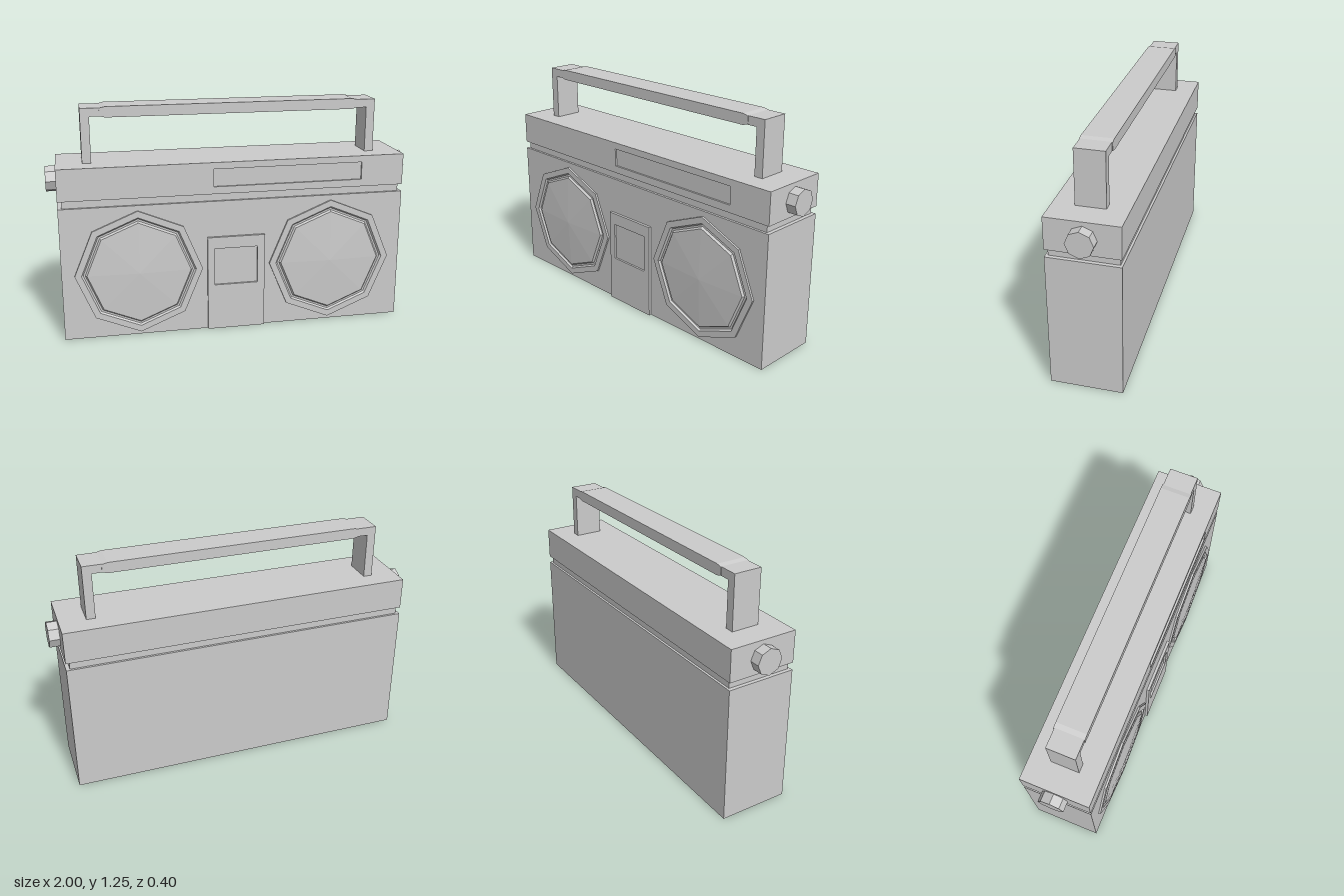
import * as THREE from 'three';

const material = new THREE.MeshStandardMaterial({ color: 0xcccccc, flatShading: true });

function add(parent, name, geometry) {
  const mesh = new THREE.Mesh(geometry, material);
  mesh.name = name;
  parent.add(mesh);
  return mesh;
}

// Box given by its min and max on each axis
function box(parent, name, x0, x1, y0, y1, z0, z1) {
  const mesh = add(parent, name, new THREE.BoxGeometry(x1 - x0, y1 - y0, z1 - z0));
  mesh.position.set((x0 + x1) / 2, (y0 + y1) / 2, (z0 + z1) / 2);
  return mesh;
}

const polygon = (points) => new THREE.Shape(points.map(([x, y]) => new THREE.Vector2(x, y)));
const rect = (x0, x1, y0, y1) => polygon([[x0, y0], [x1, y0], [x1, y1], [x0, y1]]);

// Front outline pushed from z0 to z1, with optional hole
function slab(parent, name, shape, z0, z1, hole) {
  if (hole) shape.holes.push(hole);
  const geometry = new THREE.ExtrudeGeometry(shape, { depth: z1 - z0, bevelEnabled: false });
  geometry.translate(0, 0, z0);
  return add(parent, name, geometry);
}

export function createModel() {
  const model = new THREE.Group();
  model.name = 'portableStereo';

  // Case: lower body, narrow seam, upper body with sunken tuner window
  box(model, 'lowerBody', -0.945, 0.945, 0, 0.735, -0.2, 0.175);
  box(model, 'seam', -0.925, 0.925, 0.735, 0.775, -0.188, 0.162);
  slab(model, 'upperBody', rect(-0.945, 0.945, 0.775, 0.948), -0.2, 0.175,
    rect(-0.122, 0.705, 0.815, 0.912));
  box(model, 'tunerWindow', -0.122, 0.705, 0.815, 0.912, -0.2, 0.165);

  // Cassette door with sunken window
  slab(model, 'cassetteDoor', rect(-0.16, 0.158, 0, 0.535), 0.175, 0.19,
    rect(-0.122, 0.118, 0.26, 0.47));
  box(model, 'cassetteWindow', -0.122, 0.118, 0.26, 0.47, 0.17, 0.179);

  // Octagonal speakers: flat rim, groove, shallow raised cone
  const profile = [[0.345, 0.174], [0.345, 0.186], [0.309, 0.186], [0.3, 0.176],
    [0.289, 0.176], [0.28, 0.187], [0, 0.2]].map(([r, z]) => new THREE.Vector2(r, z));
  const speaker = new THREE.LatheGeometry(profile, 8).rotateX(Math.PI / 2);

  // Octagonal side knobs
  const knob = new THREE.CylinderGeometry(0.07, 0.07, 0.06, 8).rotateZ(Math.PI / 2);

  for (const [side, s] of [['left', 1], ['right', -1]]) {
    add(model, side + 'Speaker', speaker).position.set(s * 0.532, 0.362, 0);
    add(model, side + 'Knob', knob).position.set(s * 0.97, 0.857, -0.015);
  }

  // Carrying handle: square frame and slightly thicker grip with tapered ends
  slab(model, 'handleFrame', polygon([[-0.805, 0.94], [-0.757, 0.94], [-0.757, 1.195],
    [0.757, 1.195], [0.757, 0.94], [0.805, 0.94], [0.805, 1.24], [-0.805, 1.24]]), -0.09, 0.063);
  slab(model, 'handleGrip', polygon([[-0.705, 1.197], [-0.675, 1.189], [0.675, 1.189],
    [0.705, 1.197], [0.705, 1.239], [0.675, 1.246], [-0.675, 1.246], [-0.705, 1.239]]), -0.094, 0.066);

  return model;
}
